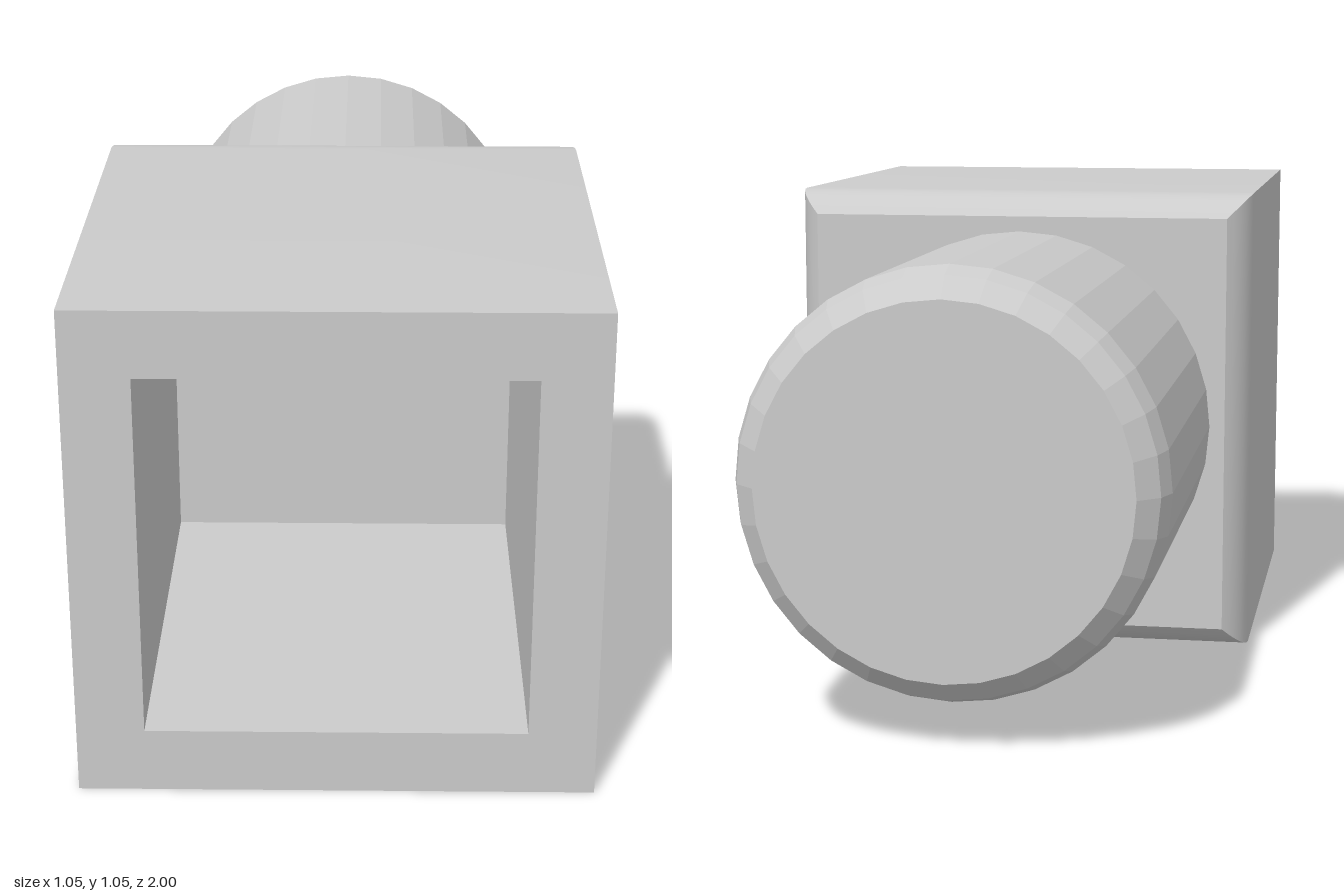
import * as THREE from 'three';
import { toCreasedNormals } from 'three/addons/utils/BufferGeometryUtils.js';

const HALF = 0.5275; // half the width of the square body

// Revolves [radius, z] points around the z axis; points run from back to front.
function turned(profile, sides, phiStart = 0) {
  const points = profile.map(([r, z]) => new THREE.Vector2(r, z));
  return new THREE.LatheGeometry(points, sides, phiStart).rotateX(Math.PI / 2);
}

export function createModel() {
  const group = new THREE.Group();

  // Square socket: a four-sided revolve with rounded back edges and an open front cavity
  const round = 0.14, steps = 6, start = Math.asin(0.11 / round);
  const profile = [[0, -0.11]];
  for (let i = 0; i <= steps; i++) {
    const a = start * (1 - i / steps);
    profile.push([HALF - round * (1 - Math.cos(a)), -round * Math.sin(a)]);
  }
  profile.push([HALF, 1], [0.389, 1], [0.389, 0.07], [0, 0.07]);
  const square = profile.map(([r, z]) => [r * Math.SQRT2, z]);
  const socket = new THREE.Mesh(
    toCreasedNormals(turned(square, 4, Math.PI / 4), 0.5),
    new THREE.MeshStandardMaterial({ color: 0xcccccc })
  );
  socket.name = 'squareSocket';

  // Round peg with a softened end
  const peg = new THREE.Mesh(
    turned([[0, -1], [0.38, -1], [0.423, -0.96], [0.44, -0.91], [0.44, -0.11]], 32),
    new THREE.MeshStandardMaterial({ color: 0xcccccc, flatShading: true })
  );
  peg.name = 'roundPeg';

  group.add(socket, peg);
  group.position.y = HALF;
  const model = new THREE.Group();
  model.name = 'socketAndPeg';
  model.add(group);
  group.name = 'connector';
  return model;
}
